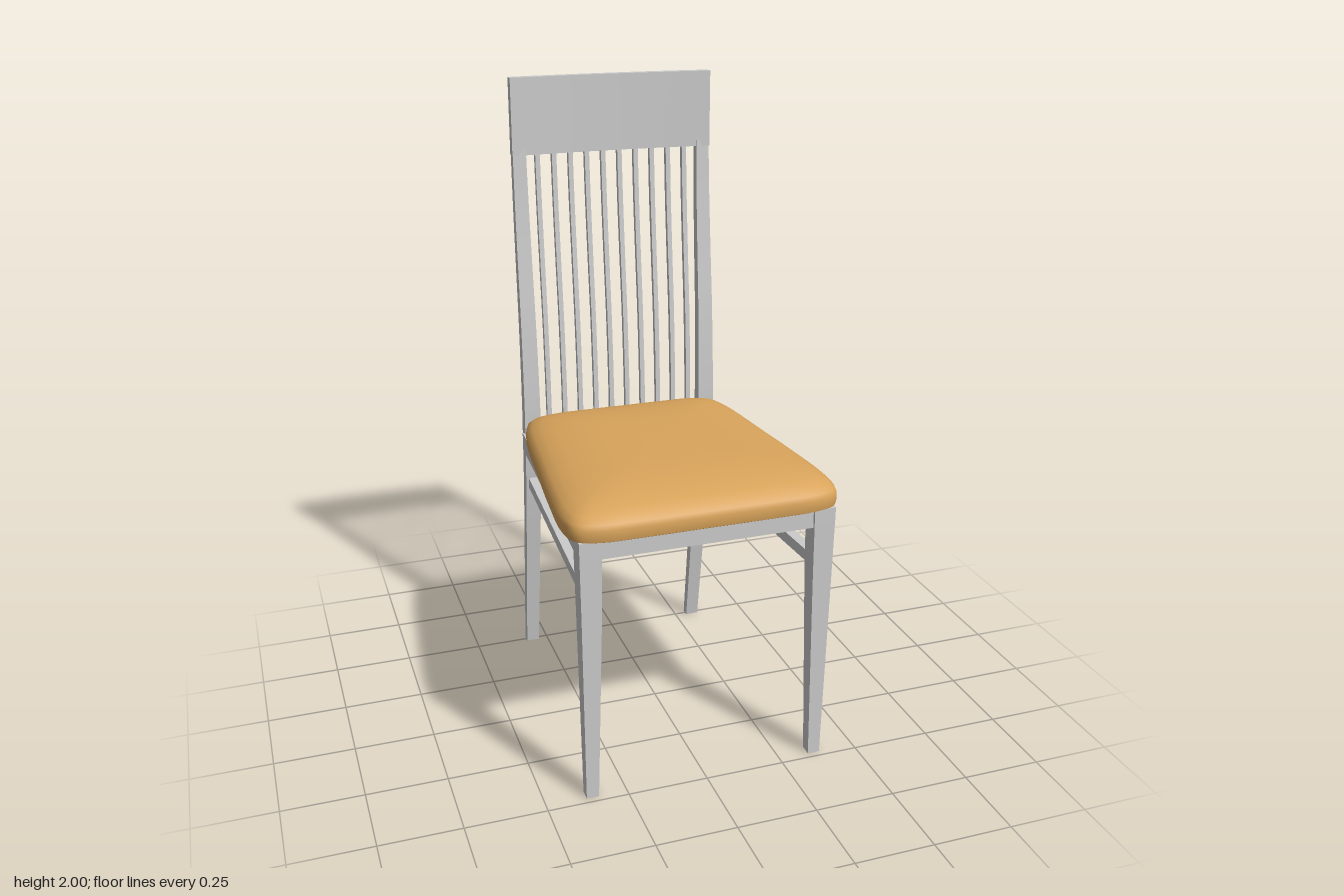
import * as THREE from 'three';
import { toCreasedNormals } from 'three/addons/utils/BufferGeometryUtils.js';

const V = (x, y, z) => new THREE.Vector3(x, y, z);

// Skin a stack of equal-length rings, each counter-clockwise seen from above
function loft(rings, crease) {
  const n = rings[0].length, index = [];
  for (let r = 0; r < rings.length - 1; r++) {
    for (let i = 0; i < n; i++) {
      const a = r * n + i, b = r * n + (i + 1) % n;
      index.push(a, b, b + n, a, b + n, a + n);
    }
  }
  const geo = new THREE.BufferGeometry().setFromPoints(rings.flat());
  geo.setIndex(index);
  return toCreasedNormals(geo, crease);
}

// Upright post of rectangular section; each section is [x, y, z, width, depth]
function post(sections) {
  const ring = ([x, y, z, w, d]) => [[-1, 1], [1, 1], [1, -1], [-1, -1]]
    .map(([i, k]) => V(x + i * w / 2, y, z + k * d / 2));
  const closed = ([x, y, z]) => ring([x, y, z, 0, 0]);
  return loft([closed(sections[0]), ...sections.map(ring), closed(sections.at(-1))], 0.5);
}

// Centre line of the backrest and rear legs as (z, y)
const backCurve = new THREE.SplineCurve([
  [-0.5, 0], [-0.443, 0.4], [-0.415, 0.6], [-0.394, 0.8], [-0.39, 0.95],
  [-0.402, 1.2], [-0.42, 1.4], [-0.437, 1.6], [-0.447, 1.78],
].map(([z, y]) => new THREE.Vector2(z, y)));
const backLine = backCurve.getPoints(40);

export function createModel() {
  const model = new THREE.Group();
  const frame = new THREE.Group();
  frame.name = 'frame';
  frame.position.x = 0.004;
  model.add(frame);

  const wood = new THREE.MeshStandardMaterial({ color: 0xcccccc });
  const fabric = new THREE.MeshStandardMaterial({ color: 0xd9a45b });

  const add = (name, geo, mat = wood, parent = frame) => {
    const mesh = new THREE.Mesh(geo, mat);
    mesh.name = name;
    parent.add(mesh);
    return mesh;
  };
  // Straight rail between two points
  const rail = (name, a, b, w, h) => {
    const mesh = add(name, new THREE.BoxGeometry(w, h, a.distanceTo(b)));
    mesh.position.copy(a).add(b).multiplyScalar(0.5);
    mesh.lookAt(b.x + mesh.position.x - a.x, mesh.position.y, b.z + mesh.position.z - a.z);
    mesh.rotation.set(0, Math.atan2(b.x - a.x, b.z - a.z), 0);
  };

  for (const s of [1, -1]) {
    const side = s > 0 ? 'left' : 'right';
    // Tapered front leg
    add(`${side}FrontLeg`, post([
      [s * 0.361, 0, 0.462, 0.038, 0.036],
      [s * 0.357, 0.6, 0.46, 0.06, 0.058],
      [s * 0.357, 0.845, 0.459, 0.067, 0.064],
    ]));
    // Curved rear leg running up into the backrest, thickest at the seat
    add(`${side}BackLeg`, post(backLine.map(({ x: z, y }) => {
      const k = Math.max(0, 1 - Math.abs(y - 0.85) / 0.9);
      return [s * 0.307, y, z, 0.043 + 0.011 * k, 0.028 + 0.01 * k];
    })));
    // Side seat rail and lower stretcher
    rail(`${side}SeatRail`, V(s * 0.322, 0.815, -0.39), V(s * 0.368, 0.815, 0.45), 0.034, 0.06);
    rail(`${side}Stretcher`, V(s * 0.307, 0.662, -0.4), V(s * 0.354, 0.662, 0.45), 0.032, 0.036);
  }

  // Front and rear seat rails
  rail('frontSeatRail', V(-0.35, 0.815, 0.465), V(0.35, 0.815, 0.465), 0.034, 0.06);
  rail('backSeatRail', V(-0.3, 0.815, -0.394), V(0.3, 0.815, -0.394), 0.032, 0.06);

  // Bowed crest rail across the top
  const crest = new THREE.Shape();
  crest.moveTo(-0.33, 0.43);
  crest.quadraticCurveTo(0, 0.46, 0.33, 0.43);
  crest.lineTo(0.33, 0.46);
  crest.quadraticCurveTo(0, 0.49, -0.33, 0.46);
  const crestGeo = new THREE.ExtrudeGeometry(crest, { depth: 0.24, bevelEnabled: false, curveSegments: 20 });
  crestGeo.rotateX(-Math.PI / 2).translate(0, 1.76, 0);
  add('crestRail', toCreasedNormals(crestGeo, 0.5));

  // Ten slim curved slats fanning into the bow of the crest
  const slatLine = backLine.filter((p) => p.y > 0.82);
  for (let i = 0; i < 10; i++) {
    const x = (i - 4.5) * 0.0547;
    const bow = 0.013 * (1 - (x / 0.33) ** 2);
    add(`slat${i + 1}`, post(slatLine.map(({ x: z, y }) =>
      [x, y, z - bow * (y - 0.82) / 0.96, 0.015, 0.017])));
  }

  // Upholstered seat: rounded trapezoid outline, lofted through a domed profile
  const half = [[0.2, 0.515], [0.335, 0.51], [0.395, 0.485], [0.414, 0.42], [0.402, 0.2],
    [0.382, 0], [0.362, -0.2], [0.347, -0.285], [0.323, -0.345], [0.27, -0.37], [0.15, -0.375]];
  const outline = new THREE.CatmullRomCurve3([
    V(0, 0, 0.515), ...half.map(([x, z]) => V(x, 0, z)),
    V(0, 0, -0.375), ...half.map(([x, z]) => V(-x, 0, z)).reverse(),
  ], true).getPoints(120).slice(0, -1);
  const profile = [[0, 0.845], [0.975, 0.845], [0.995, 0.85], [1, 0.862], [1, 0.885], [0.988, 0.9],
    [0.95, 0.915], [0.88, 0.929], [0.78, 0.94], [0.62, 0.95], [0.42, 0.955], [0.2, 0.956], [0, 0.956]];
  const rings = profile.map(([s, y]) => outline.map((p) => V(p.x * s, y, 0.07 + (p.z - 0.07) * s)));
  add('seatCushion', loft(rings, 0.7), fabric, model);

  return model;
}
